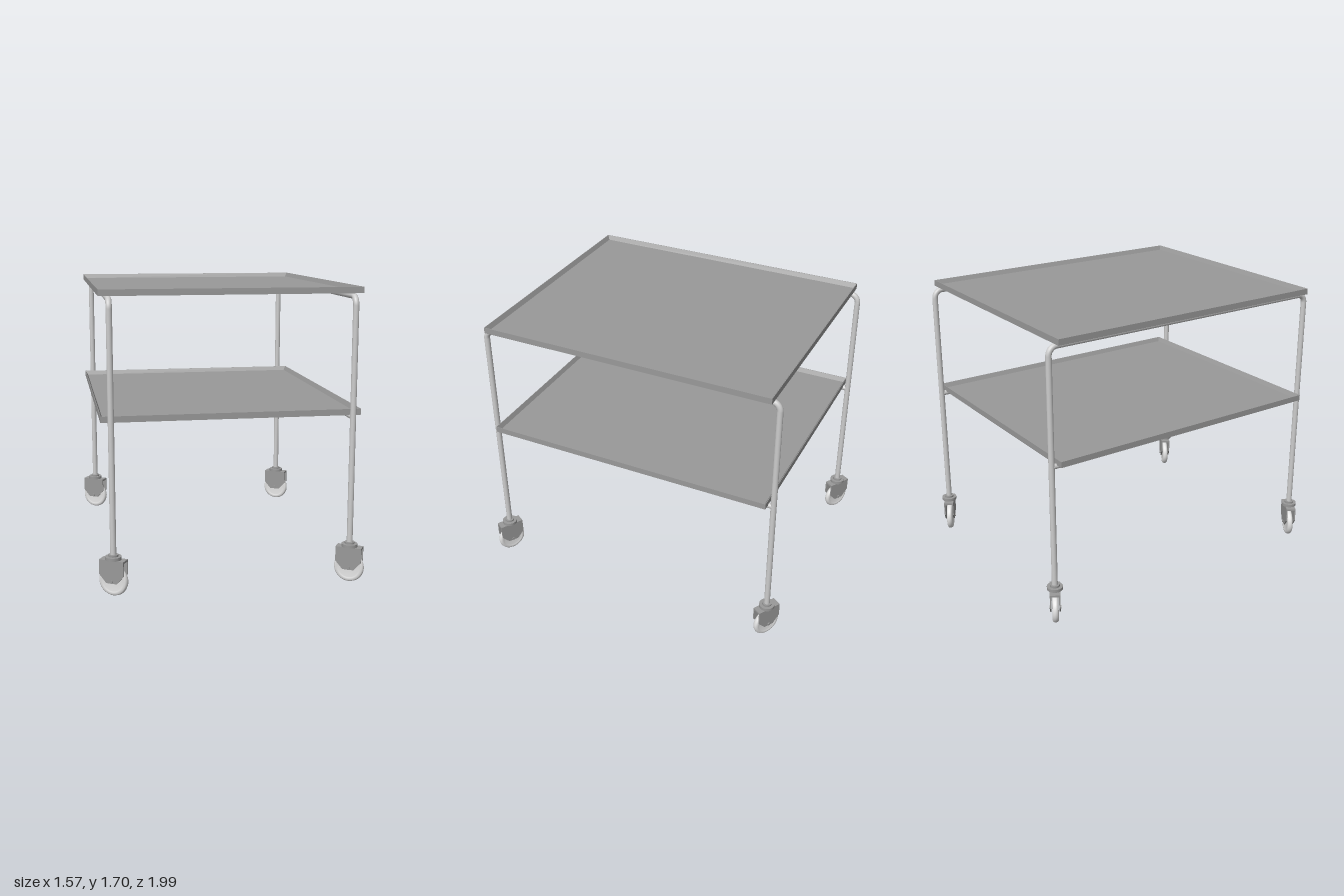
import * as THREE from 'three';

const shelfGrey = new THREE.MeshStandardMaterial({ color: 0x999999 });
const tubeSteel = new THREE.MeshStandardMaterial({ color: 0xcccccc });
const wheelWhite = new THREE.MeshStandardMaterial({ color: 0xe0e0e0 });

const TUBE_R = 0.017, LEG_X = 0.68, LEG_Z = 0.907;
const TOP_Y = 1.645, BEND = 0.05, LEG_BOTTOM = 0.23;

function add(parent, name, geometry, material, x = 0, y = 0, z = 0) {
  const mesh = new THREE.Mesh(geometry, material);
  mesh.name = name;
  mesh.position.set(x, y, z);
  parent.add(mesh);
  return mesh;
}

// Shallow tray: rectangular rings of [inset, height], capped below and at the floor
function trayGeometry(width, depth, height) {
  const rings = [[0, 0], [0, height], [0.003, height], [0.017, 0.009]];
  const corners = [[-1, 1], [1, 1], [1, -1], [-1, -1]];
  const points = [], index = [];
  for (const [inset, y] of rings)
    for (const [sx, sz] of corners)
      points.push(sx * (width / 2 - inset), y, sz * (depth / 2 - inset));
  for (let r = 0; r < rings.length - 1; r++)
    for (let i = 0; i < 4; i++) {
      const a = r * 4 + i, b = r * 4 + (i + 1) % 4;
      index.push(a, b, b + 4, a, b + 4, a + 4);
    }
  const f = (rings.length - 1) * 4;
  index.push(0, 2, 1, 0, 3, 2, f, f + 1, f + 2, f, f + 2, f + 3);
  const indexed = new THREE.BufferGeometry();
  indexed.setAttribute('position', new THREE.Float32BufferAttribute(points, 3));
  indexed.setIndex(index);
  const geometry = indexed.toNonIndexed();
  geometry.computeVertexNormals();
  return geometry;
}

// One side of the frame: two legs joined by a bent top rail, plus a lower rail
function sideFrame(x) {
  const side = new THREE.Group();
  side.name = 'sideFrame';
  const legLength = TOP_Y - BEND - LEG_BOTTOM;
  const leg = new THREE.CylinderGeometry(TUBE_R, TUBE_R, legLength, 20);
  const bend = new THREE.TorusGeometry(BEND, TUBE_R, 16, 10, Math.PI / 2);
  for (const s of [-1, 1]) {
    add(side, 'leg', leg, tubeSteel, x, LEG_BOTTOM + legLength / 2, s * LEG_Z);
    add(side, 'tubeBend', bend, tubeSteel, x, TOP_Y - BEND, s * (LEG_Z - BEND))
      .rotation.y = -s * Math.PI / 2;
  }
  const rail = (name, y, length, r) => {
    add(side, name, new THREE.CylinderGeometry(r, r, length, 20), tubeSteel, x, y, 0)
      .rotation.x = Math.PI / 2;
  };
  rail('topRail', TOP_Y, 2 * (LEG_Z - BEND), TUBE_R);
  rail('lowerRail', 0.967, 2 * LEG_Z, 0.0155);
  return side;
}

// Swivel caster: fork of two chamfered plates around a rounded wheel
function caster() {
  const group = new THREE.Group();
  group.name = 'caster';
  const outline = [[-0.075, 0.21], [-0.075, 0.125], [-0.032, 0.077],
    [0.032, 0.077], [0.075, 0.125], [0.075, 0.21]];
  const plate = new THREE.ExtrudeGeometry(
    new THREE.Shape(outline.map(([x, y]) => new THREE.Vector2(x, y))),
    { depth: 0.008, bevelEnabled: false });
  for (const s of [-1, 1]) {
    add(group, 'forkPlate', plate, shelfGrey, 0, 0, s * 0.026 - 0.004);
    add(group, 'axleBolt', new THREE.CylinderGeometry(0.01, 0.01, 0.005, 12), shelfGrey, 0, 0.088, s * 0.0325)
      .rotation.x = Math.PI / 2;
  }
  add(group, 'forkTop', new THREE.BoxGeometry(0.15, 0.012, 0.06), shelfGrey, 0, 0.204, 0);
  add(group, 'swivelPlate', new THREE.CylinderGeometry(0.046, 0.046, 0.018, 24), shelfGrey, 0, 0.219, 0);
  add(group, 'legCollar', new THREE.CylinderGeometry(0.028, 0.028, 0.012, 24), shelfGrey, 0, 0.233, 0);
  const profile = [[0, -0.012], [0.06, -0.012], [0.064, -0.018], [0.078, -0.017], [0.085, -0.011],
    [0.088, 0], [0.085, 0.011], [0.078, 0.017], [0.064, 0.018], [0.06, 0.012], [0, 0.012]];
  add(group, 'wheel', new THREE.LatheGeometry(profile.map(([r, y]) => new THREE.Vector2(r, y)), 36),
    wheelWhite, 0, 0.088, 0).rotation.x = Math.PI / 2;
  return group;
}

export function createModel() {
  const model = new THREE.Group();
  model.name = 'trolley';
  const frame = new THREE.Group();
  frame.name = 'frame';
  frame.position.z = 0.004;
  frame.rotation.y = -0.0305;
  model.add(frame);

  // Shelves
  const tray = trayGeometry(1.47, 1.757, 0.035);
  add(frame, 'topShelf', tray, shelfGrey, 0, 1.66, 0);
  add(frame, 'lowerShelf', tray, shelfGrey, 0, 0.975, 0);

  // Frame sides and casters, all wheels turned the same way
  for (const sx of [-1, 1]) {
    frame.add(sideFrame(sx * LEG_X));
    for (const sz of [-1, 1]) {
      const c = caster();
      c.position.set(sx * LEG_X, 0, sz * LEG_Z);
      c.rotation.y = -0.54;
      frame.add(c);
    }
  }
  return model;
}
